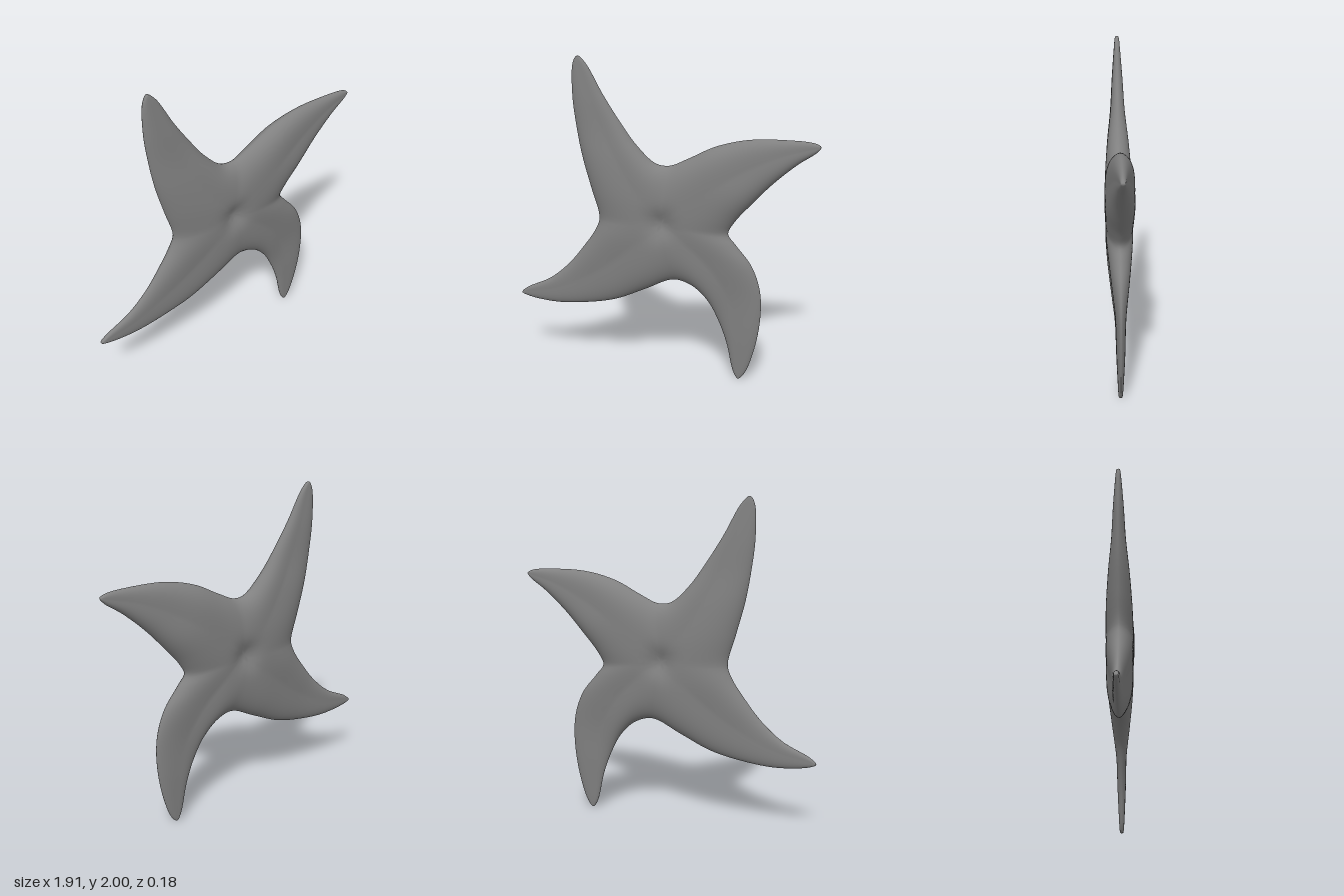
import * as THREE from 'three';
import { mergeGeometries, mergeVertices } from 'three/addons/utils/BufferGeometryUtils.js';

const STATIONS = 6; // outline points from a valley to a tip
const ROWS = 48, COLS = 36;
const CENTRE = [0.01, 1.0];

// Counter-clockwise outline, 12 points per blade: valley, rising edge, tip, falling edge.
const outline = [
  // right blade
  [0.42, 0.955], [0.455, 1.03], [0.56, 1.155], [0.68, 1.285], [0.82, 1.41], [0.93, 1.49],
  [0.95, 1.52], [0.92, 1.54], [0.72, 1.552], [0.52, 1.54], [0.33, 1.49], [0.16, 1.405],
  // upper blade
  [0.05, 1.358], [-0.04, 1.368], [-0.16, 1.475], [-0.26, 1.61], [-0.365, 1.77], [-0.475, 1.96],
  [-0.525, 2.0], [-0.553, 1.96], [-0.562, 1.77], [-0.54, 1.57], [-0.505, 1.38], [-0.45, 1.18],
  // left blade
  [-0.403, 1.0], [-0.43, 0.92], [-0.52, 0.79], [-0.62, 0.67], [-0.75, 0.56], [-0.92, 0.475],
  [-0.955, 0.44], [-0.92, 0.42], [-0.72, 0.395], [-0.5, 0.415], [-0.3, 0.46], [-0.1, 0.55],
  // lower blade
  [0.08, 0.63], [0.2, 0.6], [0.3, 0.51], [0.37, 0.385], [0.425, 0.24], [0.475, 0.04],
  [0.505, 0.0], [0.545, 0.04], [0.62, 0.3], [0.63, 0.58], [0.57, 0.76], [0.47, 0.885],
];

// Half thickness of each blade from hub to tip
const thickness = [
  [0.085, 0.088, 0.086, 0.062, 0.037, 0.017, 0.013],
  [0.085, 0.083, 0.068, 0.046, 0.033, 0.017, 0.013],
  [0.085, 0.08, 0.057, 0.036, 0.025, 0.015, 0.012],
  [0.085, 0.077, 0.057, 0.034, 0.026, 0.015, 0.012],
];

// Closed curve whose z component carries the half thickness
const edgeCurve = new THREE.CatmullRomCurve3(outline.map(([x, y], i) => {
  const k = i % (2 * STATIONS);
  const station = k <= STATIONS ? k : 2 * STATIONS - k;
  return new THREE.Vector3(x, y, thickness[Math.floor(i / (2 * STATIONS))][station]);
}), true, 'centripetal');

const edgeAt = (index) => edgeCurve.getPoint((index / outline.length) % 1);

// One face of one blade; side is +1 for the front and -1 for the back
function bladeFace(blade, side) {
  const start = blade * 2 * STATIONS;
  const rootA = edgeAt(start), rootB = edgeAt(start + 2 * STATIONS);
  const bendX = CENTRE[0] - (rootA.x + rootB.x) / 2;
  const bendY = CENTRE[1] - (rootA.y + rootB.y) / 2;
  const positions = [], indices = [];

  for (let i = 0; i <= ROWS; i++) {
    const s = Math.sin((i / ROWS) * Math.PI / 2);
    const a = edgeAt(start + s * STATIONS);
    const b = edgeAt(start + (2 - s) * STATIONS);
    // the spine runs from the hub centre to the tip
    const bend = (1 - s) ** 2;
    const midX = (a.x + b.x) / 2 + bendX * bend;
    const midY = (a.y + b.y) / 2 + bendY * bend;
    const half = (a.z + b.z) / 2 * Math.sqrt(Math.max(0, 1 - s ** 20));

    for (let j = 0; j <= COLS; j++) {
      const u = Math.sin((j / COLS - 0.5) * Math.PI);
      const w = Math.abs(u), edge = u < 0 ? a : b;
      const x = midX + (edge.x - midX) * w;
      const y = midY + (edge.y - midY) * w;
      // flat-topped section with rounded edges and a shallow dimple in the hub
      const section = Math.max(0, 1 - w ** 3.4) ** 0.6;
      const r2 = (x - CENTRE[0]) ** 2 + (y - CENTRE[1]) ** 2;
      const dimple = 1 - 0.45 * Math.exp(-r2 / 0.006);
      positions.push(x, y, side * half * section * dimple);
    }
  }

  for (let i = 0; i < ROWS; i++) {
    for (let j = 0; j < COLS; j++) {
      const p = i * (COLS + 1) + j, q = p + COLS + 1;
      if (side > 0) indices.push(p, q, q + 1, p, q + 1, p + 1);
      else indices.push(p, q + 1, q, p, p + 1, q + 1);
    }
  }

  const geometry = new THREE.BufferGeometry();
  geometry.setAttribute('position', new THREE.Float32BufferAttribute(positions, 3));
  geometry.setIndex(indices);
  return geometry;
}

export function createModel() {
  const faces = [];
  for (let blade = 0; blade < 4; blade++) {
    for (const side of [1, -1]) faces.push(bladeFace(blade, side));
  }
  // weld the faces so the shading flows through the hub and around the edges
  const geometry = mergeVertices(mergeGeometries(faces), 1e-4);
  geometry.computeVertexNormals();

  const star = new THREE.Mesh(geometry, new THREE.MeshStandardMaterial({ color: 0x808080 }));
  star.name = 'fourBladedStar';
  const group = new THREE.Group();
  group.name = 'throwingStar';
  group.add(star);
  return group;
}
